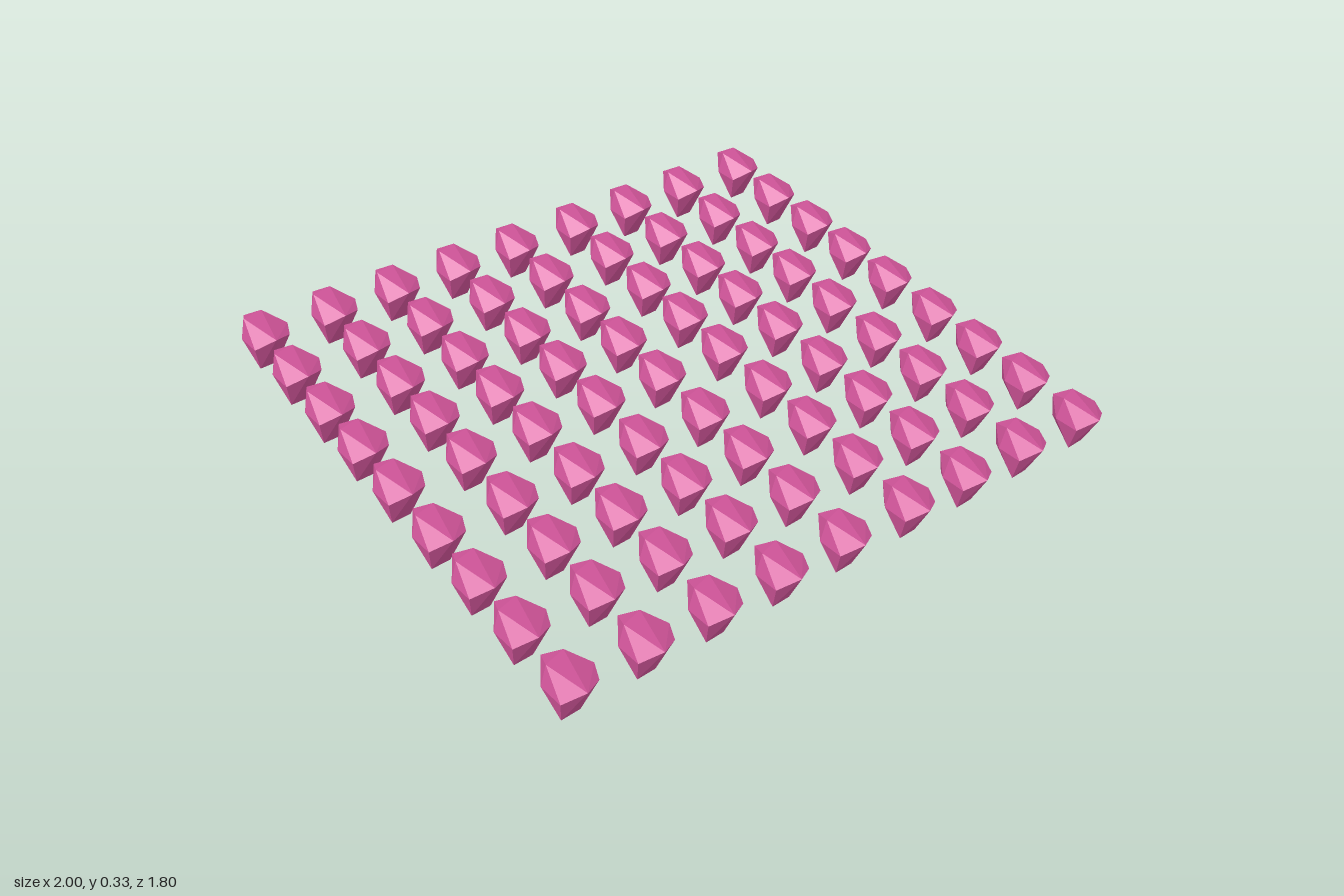
import * as THREE from 'three';
import { ConvexGeometry } from 'three/addons/geometries/ConvexGeometry.js';

// One irregular cut stone: chisel-shaped base, wide girdle, sloping crown
function gemGeometry() {
  const points = [
    // base edge
    [-0.046, 0, 0.018], [0.013, 0, 0.016],
    // girdle
    [-0.005, 0.12, 0.08], [-0.064, 0.09, 0.048], [-0.07, 0.095, -0.027],
    [-0.02, 0.056, -0.078], [0.048, 0.075, -0.05], [0.07, 0.112, 0], [0.053, 0.1, 0.045],
    // crown
    [-0.055, 0.165, -0.022], [0.012, 0.158, -0.045], [-0.032, 0.138, -0.08],
  ];
  return new ConvexGeometry(points.map((p) => new THREE.Vector3(...p)));
}

export function createModel() {
  const model = new THREE.Group();
  model.name = 'gemField';

  const geometry = gemGeometry();
  const material = new THREE.MeshStandardMaterial({ color: 0xd4569c, flatShading: true });

  // Slightly uneven spacing of the columns and rows
  const columns = [-0.92, -0.69, -0.47, -0.246, -0.021, 0.219, 0.444, 0.674, 0.92];
  const rows = [-0.808, -0.605, -0.402, -0.208, -0.01, 0.2, 0.4, 0.6, 0.81];

  // The field is turned a little and climbs towards the back
  rows.forEach((z, r) => {
    const row = new THREE.Group();
    row.name = `gemRow${r + 1}`;
    columns.forEach((x, c) => {
      const gem = new THREE.Mesh(geometry, material);
      gem.name = `gem${r + 1}_${c + 1}`;
      gem.position.set(x - z * 0.01, 0.015 + (0.81 - z) * 0.086 - x * 0.016, z + x * 0.0105);
      row.add(gem);
    });
    model.add(row);
  });

  return model;
}
